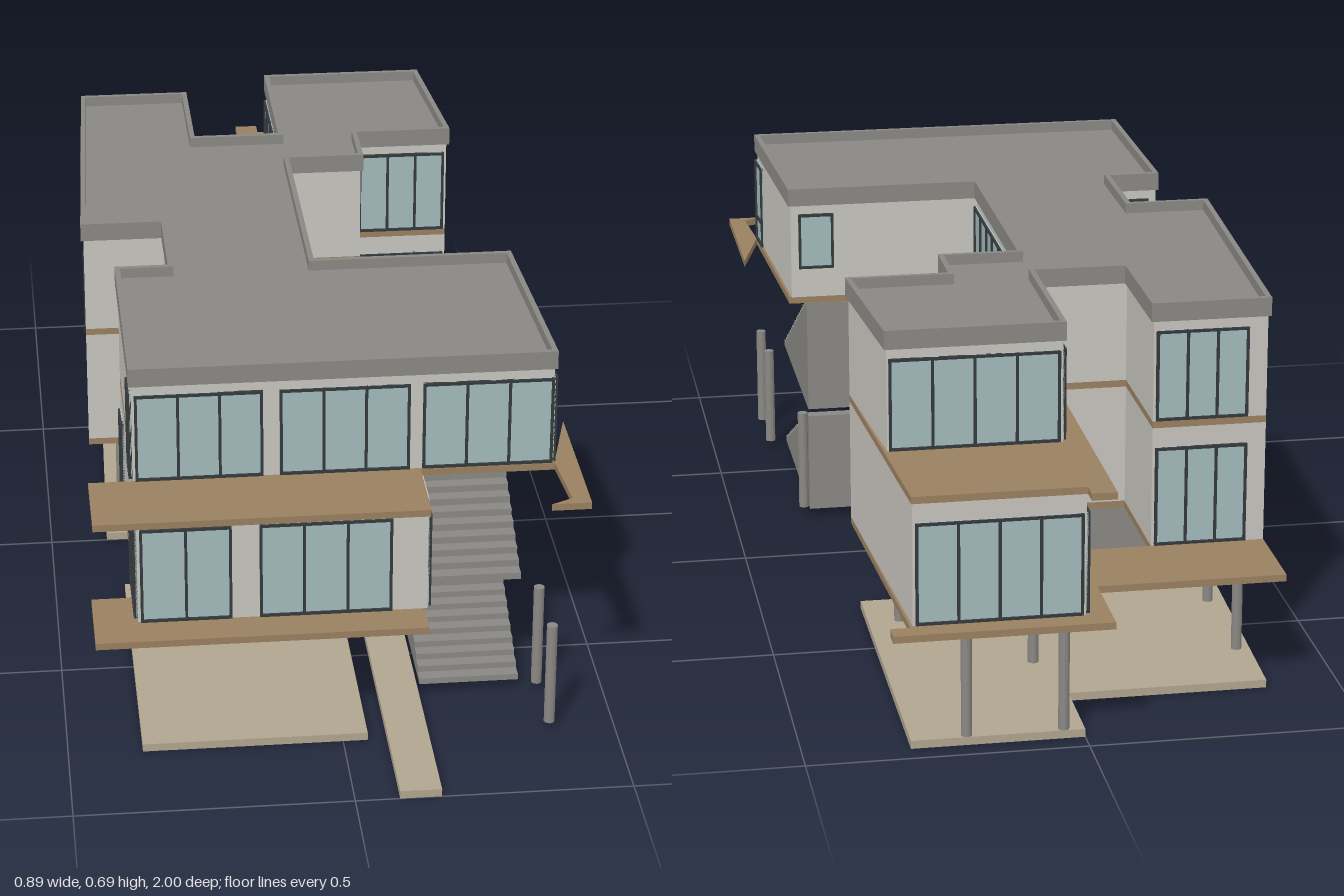
import * as THREE from 'three';

const mat = (color) => new THREE.MeshStandardMaterial({ color, flatShading: true });
const WALL = mat(0xc8c5be), GREY = mat(0x8a8884), DECK = mat(0x9a8060);
const PAVING = mat(0xb0a590), GLASS = mat(0xa3b9bc), FRAME = mat(0x34393b);

// Floor levels
const Y0 = 0.015, Y1 = 0.217, F1 = 0.23, Y2 = 0.457, F2 = 0.47, WALL_TOP = 0.66, TOP = 0.695;

export function createModel() {
  const house = new THREE.Group();
  house.name = 'house';

  const add = (name, geo, material, parent = house) => {
    const m = new THREE.Mesh(geo, material);
    m.name = name;
    parent.add(m);
    return m;
  };
  const box = (name, x0, x1, y0, y1, z0, z1, material, parent) =>
    add(name, new THREE.BoxGeometry(x1 - x0, y1 - y0, z1 - z0), material, parent)
      .position.set((x0 + x1) / 2, (y0 + y1) / 2, (z0 + z1) / 2);

  // Plan outline of [x, z] corners raised from y0 to y1
  const slab = (name, plan, y0, y1, material, hole) => {
    const flip = (p) => p.map(([x, z]) => new THREE.Vector2(x, -z));
    const shape = new THREE.Shape(flip(plan));
    if (hole) shape.holes.push(new THREE.Path(flip(hole)));
    const geo = new THREE.ExtrudeGeometry(shape, { depth: y1 - y0, bevelEnabled: false });
    geo.rotateX(-Math.PI / 2).translate(0, y0, 0);
    return add(name, geo, material);
  };

  // Glazed band from a to b, left to right as seen from outside
  const glazing = (name, [ax, az], [bx, bz], y0, y1, panes, rail) => {
    const g = new THREE.Group(), w = Math.hypot(bx - ax, bz - az), t = 0.005;
    g.name = name;
    g.position.set(ax, 0, az);
    g.rotation.y = Math.atan2(az - bz, bx - ax);
    box('glass', 0, w, y0, y1, -0.004, 0.003, GLASS, g);
    for (let i = 0; i <= panes; i++) {
      const x = (i / panes) * (w - t);
      box('mullion', x, x + t, y0, y1, -0.004, 0.007, FRAME, g);
    }
    const rails = rail ? [y0, y1 - t, rail] : [y0, y1 - t];
    for (const y of rails) box('rail', 0, w, y, y + t, -0.004, 0.007, FRAME, g);
    house.add(g);
  };

  // Outline shared by every level: left side, from back wing to front wing
  const leftSide = [[-0.18, -0.41], [-0.18, -0.65], [-0.39, -0.65], [-0.42, 0], [-0.265, 0],
    [-0.265, 0.21], [-0.365, 0.21]];
  const court = [[0, 0.21], [0, -0.29], [0.15, -0.29], [0.15, -0.41], [0.34, -0.41]];

  // Ground paving and entrance path
  slab('paving', [[-0.365, 0.8], [0.045, 0.8], [0.045, -0.25], [0.155, -0.25], [0.155, -0.3],
    [0.31, -0.3], [0.31, -0.96], [0, -0.96], [0, -0.8], [-0.365, -0.8], [-0.39, 0], [-0.265, 0],
    [-0.265, 0.21], [-0.365, 0.21]], 0, Y0, PAVING);
  box('entrancePath', 0.08, 0.155, 0, Y0, -0.25, 1, PAVING);

  // Ground floor core
  box('groundCore', -0.27, 0, Y0, Y1, -0.29, 0.21, GREY);
  for (let i = 0; i < 15; i++) {
    const y = Y0 + i * 0.0133;
    box('siding', -0.08, -0.003, y, y + 0.011, 0.208, 0.214, GREY);
  }
  glazing('entranceDoor', [-0.155, 0.21], [-0.08, 0.21], Y0, 0.19, 1);
  glazing('groundWindowRight', [0, 0.21], [0, -0.285], 0.05, 0.19, 7);
  glazing('groundWindowLeft', [-0.27, -0.17], [-0.27, 0.07], 0.1, 0.19, 3);

  // First floor deck, with an open well beside the back wing
  slab('lowerDeck', [[-0.445, 0.8], [0.155, 0.8], [0.155, 0.21], [0.1, 0.21], [0.1, -0.25],
    [0.155, -0.25], [0.155, -0.41], [0.34, -0.41], [0.31, -0.965], [0.345, -0.965], [0.345, -1],
    [-0.045, -1], [-0.045, -0.83], [-0.39, -0.83], ...leftSide.slice(2), [-0.365, 0.64],
    [-0.445, 0.64]], Y1, F1, DECK,
    [[-0.179, -0.65], [-0.046, -0.65], [-0.046, -0.41], [-0.179, -0.41]]);

  // First floor walls
  slab('firstFloor', [[-0.365, 0.73], [0.16, 0.73], [0.16, 0.21], ...court, [0.305, -0.958],
    [0, -0.958], [0, -0.41], ...leftSide], F1, Y2, WALL);

  // Upper deck
  slab('upperDeck', [[-0.445, 0.8], [0.155, 0.8], [0.155, 0.645], [0.4, 0.645], [0.38, 0.21],
    ...court, [0.307, -0.965], [0, -0.965], [0, -1], [-0.045, -1], [-0.045, -0.41],
    ...leftSide, [-0.365, 0.64], [-0.445, 0.64]], Y2, F2, DECK);
  slab('deckWedge', [[0.442, 0.48], [0.442, 0.8], [0.37, 0.8], [0.41, 0.78], [0.4, 0.64]],
    Y2, F2, DECK);

  // Second floor walls, roof and parapet
  const roof = [[-0.365, 0.64], [0.395, 0.64], [0.375, 0.21], ...court, [0.315, -0.73],
    [0, -0.73], [0, -0.41], ...leftSide];
  slab('secondFloor', roof, F2, WALL_TOP, WALL);
  slab('roof', roof, WALL_TOP, 0.675, GREY);
  roof.forEach(([ax, az], i) => {
    const [bx, bz] = roof[(i + 1) % roof.length];
    const geo = new THREE.BoxGeometry(Math.hypot(bx - ax, bz - az) + 0.01, TOP - WALL_TOP, 0.01);
    const m = add('parapet', geo, GREY);
    m.position.set((ax + bx) / 2, (TOP + WALL_TOP) / 2, (az + bz) / 2);
    m.rotation.y = Math.atan2(az - bz, bx - ax);
  });

  // First floor windows
  const a0 = 0.232, a1 = 0.42;
  glazing('frontWindow', [-0.36, 0.73], [-0.195, 0.73], a0, a1, 2);
  glazing('frontWindow', [-0.145, 0.73], [0.095, 0.73], a0, a1, 3);
  glazing('stairWindow', [0.16, 0.725], [0.16, 0.515], a0, a1, 3);
  glazing('courtWindow', [0, 0.21], [0, -0.285], a0, a1, 7);
  glazing('courtDoor', [0.03, -0.29], [0.11, -0.29], a0, a1, 1);
  glazing('wingFrontWindow', [0.16, -0.41], [0.335, -0.41], a0, a1, 3);
  glazing('wingBackWindow', [0.3, -0.958], [0.005, -0.958], a0, a1, 4);
  glazing('wingSideWindow', [0, -0.955], [0, -0.415], a0, a1, 8);
  glazing('leftFrontWindow', [-0.365, 0.57], [-0.365, 0.72], a0, a1, 2);
  glazing('leftSlot', [-0.365, 0.25], [-0.365, 0.33], a0, a1, 1);

  // Second floor windows
  const b0 = 0.472, b1 = 0.642;
  for (const [x0, x1] of [[-0.36, -0.13], [-0.1, 0.135], [0.158, 0.395]])
    glazing('frontWindow', [x0, 0.64], [x1, 0.64], b0, b1, 3);
  glazing('sideWindow', [0.395, 0.64], [0.391, 0.565], b0, b1, 1, 0.52);
  glazing('courtWindow', [0, 0.21], [0, -0.285], 0.53, b1, 7);
  glazing('wingFrontWindow', [0.16, -0.41], [0.335, -0.41], b0, b1, 3);
  glazing('wingBackWindow', [0.312, -0.73], [0.005, -0.73], b0, b1, 4);
  glazing('wingSideWindow', [0, -0.725], [0, -0.415], b0, b1, 5);
  glazing('leftFrontWindow', [-0.365, 0.565], [-0.365, 0.635], b0, b1, 1);
  glazing('smallBackWindow', [-0.285, 0.21], [-0.35, 0.21], 0.53, b1, 1);
  glazing('smallBackWindow', [0.36, 0.21], [0.29, 0.21], 0.53, b1, 1);

  // Left back wing windows on both floors
  for (const [y0, y1] of [[a0, a1], [b0, b1]]) {
    glazing('backWindow', [-0.185, -0.65], [-0.355, -0.65], y0, y1, 3);
    glazing('slotWindow', [-0.399, -0.48], [-0.401, -0.44], y0 + 0.02, y1, 1);
  }

  // Two solid stair flights, rising towards the back
  const stairs = (name, y0, y1) => {
    const steps = 17, zf = 0.64, zb = 0.215, shape = new THREE.Shape();
    shape.moveTo(-zf, y0);
    for (let i = 0; i < steps; i++) {
      const y = y0 + ((i + 1) / steps) * (y1 - y0);
      shape.lineTo(-zf + (i / steps) * (zf - zb), y);
      shape.lineTo(-zf + ((i + 1) / steps) * (zf - zb), y);
    }
    shape.lineTo(-zb, y0);
    const geo = new THREE.ExtrudeGeometry(shape, { depth: 0.185, bevelEnabled: false });
    geo.rotateY(Math.PI / 2).translate(0.16, 0, 0);
    add(name, geo, GREY);
  };
  stairs('lowerStairs', Y0, 0.215);
  stairs('upperStairs', F1, 0.455);

  // Round posts
  const post = new THREE.CylinderGeometry(0.01, 0.01, Y1 - Y0, 12);
  for (const [x, z] of [[0.38, 0.79], [0.378, 0.65], [0.355, 0.235], [0.14, -0.28], [0.25, -0.405],
    [0.037, -0.405], [0.037, -0.645], [0.037, -0.95], [0.21, -0.95], [-0.345, -0.645],
    [-0.345, -0.405], [-0.355, -0.055]])
    add('post', post, GREY).position.set(x, (Y0 + Y1) / 2, z);

  return house;
}
